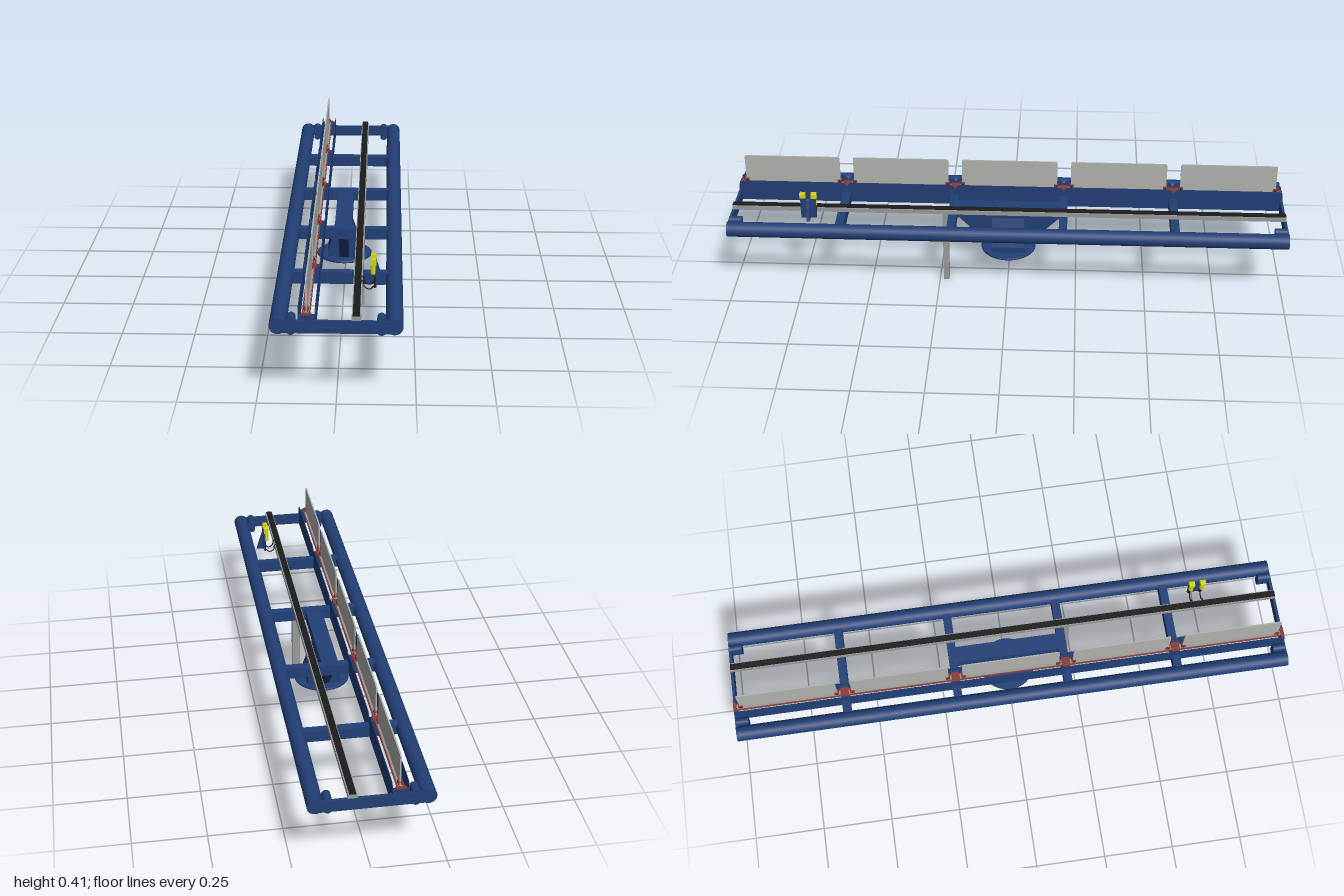
import * as THREE from 'three';

const mat = (name, color) => {
  const m = new THREE.MeshStandardMaterial({ color });
  m.name = name;
  return m;
};

export function createModel() {
  const root = new THREE.Group();
  root.name = 'railFrame';
  const blue = mat('navy paint', 0x223f76);
  const panelGrey = mat('panel grey', 0xb2b3af);
  const steel = mat('steel grey', 0x9a9a9a);
  const black = mat('black', 0x1b1b1b);
  const red = mat('dull red', 0x8c3a36);
  const yellow = mat('yellow', 0xd6d610);

  const add = (name, geo, material, x = 0, y = 0, z = 0) => {
    const m = new THREE.Mesh(geo, material);
    m.name = name;
    m.position.set(x, y, z);
    root.add(m);
    return m;
  };
  // box given by its limits on each axis
  const box = (name, material, x0, x1, y0, y1, z0, z1) =>
    add(name, new THREE.BoxGeometry(x1 - x0, y1 - y0, z1 - z0), material,
      (x0 + x1) / 2, (y0 + y1) / 2, (z0 + z1) / 2);
  // outline in the x-y plane, extruded symmetrically along z
  const slab = (shape, depth) => new THREE.ExtrudeGeometry(shape,
    { depth, bevelEnabled: false, curveSegments: 8 }).translate(0, 0, -depth / 2);
  const poly = pts => new THREE.Shape(pts.map(p => new THREE.Vector2(...p)));
  const roundRect = (w, y0, y1, r, bottomR = r) => {
    const s = new THREE.Shape(), h = w / 2;
    s.moveTo(-h + bottomR, y0).lineTo(h - bottomR, y0);
    s.quadraticCurveTo(h, y0, h, y0 + bottomR).lineTo(h, y1 - r);
    s.quadraticCurveTo(h, y1, h - r, y1).lineTo(-h + r, y1);
    s.quadraticCurveTo(-h, y1, -h, y1 - r).lineTo(-h, y0 + bottomR);
    s.quadraticCurveTo(-h, y0, -h + bottomR, y0);
    return s;
  };

  // long side tubes, end beams and end lugs
  for (const s of [-1, 1]) {
    add('sideTube', new THREE.CylinderGeometry(0.027, 0.027, 1.998, 24).rotateX(Math.PI / 2), blue, s * 0.18, 0.265, 0);
    box('endBeam', blue, -0.18, 0.18, 0.242, 0.284, s * 0.995 - 0.005, s * 0.995 + 0.005);
    for (const e of [-1, 1]) {
      const lug = new THREE.Shape();
      lug.absarc(0, 0.279, 0.014, 0, Math.PI, false);
      lug.absarc(0, 0.249, 0.014, Math.PI, Math.PI * 2, false);
      add('endLug', slab(lug, 0.045), blue, s * 0.14, 0, e * 0.975);
      add('lugPin', new THREE.CylinderGeometry(0.006, 0.006, 0.024, 12).rotateZ(Math.PI / 2), steel, s * 0.14, 0.28, e * 0.965);
    }
  }

  // cross beams
  for (const z of [-0.6, -0.2, 0.2, 0.6])
    box('crossBeam', blue, -0.165, 0.165, 0.243, 0.283, z - 0.015, z + 0.015);

  // centre pedestal
  box('centreBeam', blue, -0.03, 0.03, 0.242, 0.28, -0.2, 0.2);
  const foot = [[0, 0.102], [0.096, 0.102], [0.1, 0.105], [0.1, 0.11], [0.096, 0.113], [0, 0.113]];
  add('footDisc', new THREE.LatheGeometry(foot.map(p => new THREE.Vector2(...p)), 40), blue);
  add('pedestal', slab(poly([[-0.06, 0.112], [0.06, 0.112], [0.06, 0.134], [0.02, 0.245], [-0.02, 0.245], [-0.06, 0.134]]), 0.12), blue);
  add('pedestalWing', slab(poly([[-0.06, 0.112], [0.06, 0.112], [0.19, 0.244], [-0.19, 0.244]]), 0.034).rotateY(Math.PI / 2), blue);

  // trough walls and upright panels, five bays
  for (let i = -2; i <= 2; i++) {
    const z = i * 0.4;
    for (const x of [-0.117, -0.064])
      add('troughWall', slab(roundRect(0.396, 0.242, 0.322, 0.022, 0.003), 0.002).rotateY(Math.PI / 2), blue, x, 0, z);
    add('uprightPanel', slab(roundRect(0.35, 0.306, 0.413, 0.008), 0.005).rotateY(Math.PI / 2), panelGrey, -0.092, 0, z);
    // clamps at both ends of the panel
    for (const e of [-1, 1]) {
      const c = z + e * 0.172;
      for (const x of [-0.097, -0.087])
        box('panelClamp', red, x - 0.002, x + 0.002, 0.304, 0.32, c - 0.008, c + 0.008);
      add('clampBolt', new THREE.CylinderGeometry(0.003, 0.003, 0.018, 8).rotateZ(Math.PI / 2), black, -0.092, 0.313, c);
    }
  }
  for (const z of [-0.993, -0.6, -0.2, 0.2, 0.6, 0.993]) {
    const h = Math.abs(z) > 0.9 ? 0.006 : 0.015;
    box('troughSupport', blue, -0.117, -0.064, 0.28, 0.301, z - h, z + h);
    box('clampPlate', red, -0.108, -0.075, 0.301, 0.306, z - h, z + h);
  }
  for (const x of [-0.103, -0.081])
    box('panelRailEdge', red, x - 0.002, x + 0.002, 0.299, 0.304, -0.99, 0.99);
  box('panelRail', steel, -0.1, -0.084, 0.299, 0.303, -0.99, 0.99);

  // long rail with dark track, and the hanging post
  box('rail', steel, 0.048, 0.077, 0.283, 0.299, -0.998, 0.998);
  box('railTrack', black, 0.051, 0.073, 0.299, 0.302, -0.998, 0.998);
  box('hangingPost', steel, 0.048, 0.077, 0, 0.284, 0.216, 0.236);

  // twin yellow units on a bracket
  add('unitBracket', slab(poly([[0.12, 0.285], [0.148, 0.285], [0.125, 0.358], [0.12, 0.363]]), 0.012), blue, 0, 0, 0.712);
  box('bracketPlate', blue, 0.118, 0.122, 0.285, 0.363, 0.684, 0.74);
  for (const z of [0.692, 0.732]) {
    box('unitStem', black, 0.114, 0.118, 0.283, 0.34, z - 0.005, z + 0.005);
    box('unitJoint', red, 0.111, 0.119, 0.326, 0.335, z - 0.006, z + 0.006);
    add('unitBody', new THREE.CylinderGeometry(0.009, 0.009, 0.032, 16), yellow, 0.111, 0.346, z);
    add('unitCap', slab(roundRect(0.018, 0.36, 0.382, 0.003), 0.02), yellow, 0.112, 0, z);
    const path = new THREE.CatmullRomCurve3([[0.114, 0.288], [0.1, 0.276], [0.083, 0.285], [0.08, 0.302], [0.072, 0.305], [0.068, 0.3]]
      .map(([x, y]) => new THREE.Vector3(x, y, z)));
    add('cable', new THREE.TubeGeometry(path, 20, 0.002, 6), black);
  }
  return root;
}
